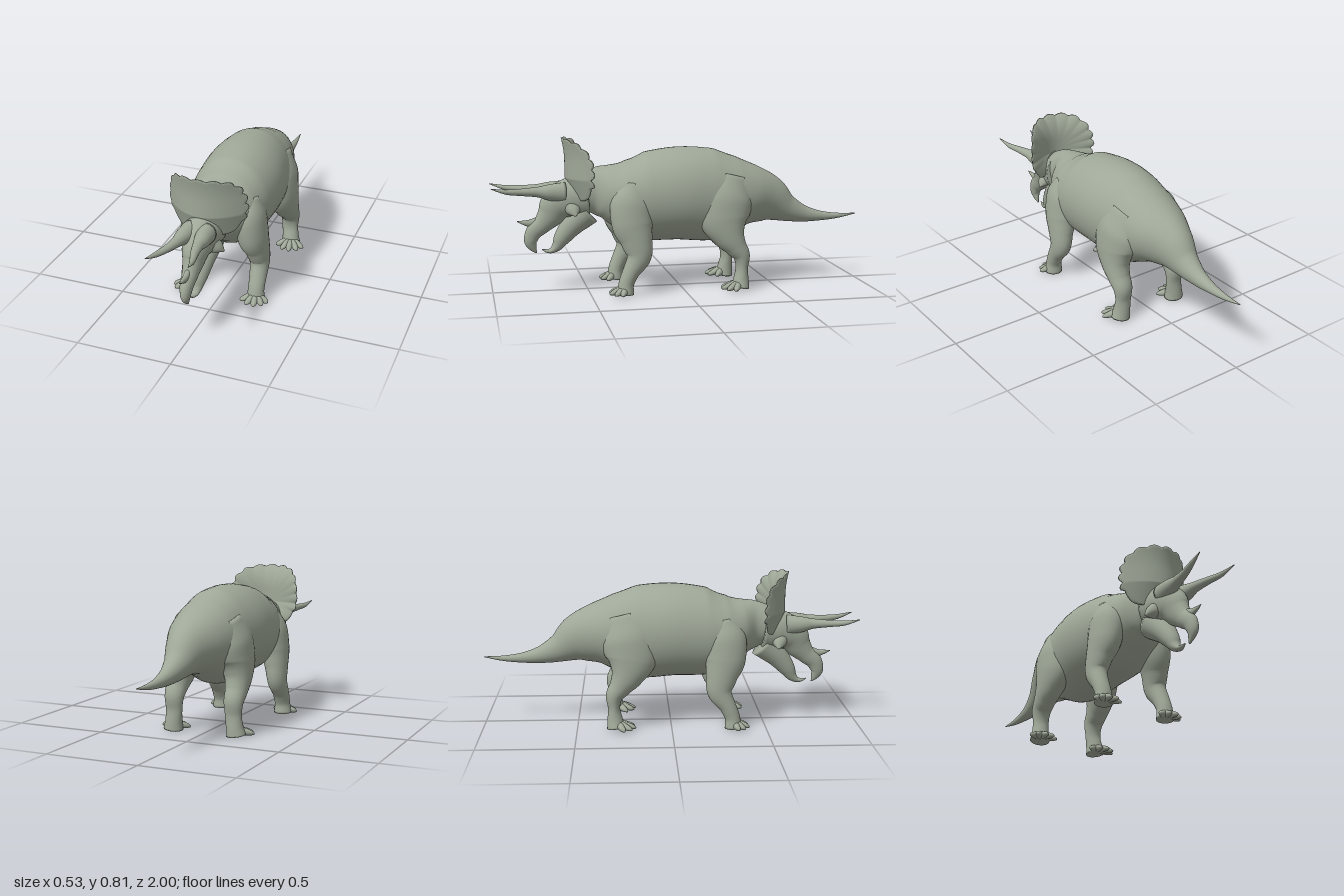
import * as THREE from 'three';

const hide = new THREE.MeshStandardMaterial({ color: 0x9fa898 });
hide.name = 'grey green hide';

// Closed smooth surface from a grid of rings (end rings shrink to a point)
function skin(rings) {
  const n = rings[0].length, pos = [], index = [];
  rings.forEach(ring => ring.forEach(p => pos.push(p.x, p.y, p.z)));
  for (let i = 0; i < rings.length - 1; i++) {
    for (let j = 0; j < n; j++) {
      const a = i * n + j, b = i * n + (j + 1) % n;
      index.push(a, b, a + n, b, b + n, a + n);
    }
  }
  const g = new THREE.BufferGeometry();
  g.setAttribute('position', new THREE.Float32BufferAttribute(pos, 3));
  g.setIndex(index);
  g.computeVertexNormals();
  return g;
}

// Elliptical tube through stations [x, y, z, half width, half depth]
function loft(stations, steps = 6, sides = 28) {
  const path = new THREE.CatmullRomCurve3(stations.map(s => new THREE.Vector3(s[0], s[1], s[2])));
  const size = new THREE.CatmullRomCurve3(stations.map(s => new THREE.Vector3(s[3], s[4], 0)));
  const total = (stations.length - 1) * steps, rings = [];
  for (let i = 0; i <= total; i++) {
    const f = i / total, c = path.getPoint(f), r = size.getPoint(f), t = path.getTangent(f);
    const u = new THREE.Vector3(1, 0, 0).addScaledVector(t, -t.x).normalize();
    const v = new THREE.Vector3().crossVectors(t, u);
    const ring = k => Array.from({ length: sides }, (_, j) => {
      const a = j / sides * Math.PI * 2;
      return c.clone().addScaledVector(u, k * Math.max(r.x, 0.001) * Math.cos(a))
        .addScaledVector(v, k * Math.max(r.y, 0.001) * Math.sin(a));
    });
    if (i === 0) rings.push(ring(0.001));
    rings.push(ring(1));
    if (i === total) rings.push(ring(0.001));
  }
  return skin(rings);
}

// Saddle-shaped neck shield with a scalloped rim
function frillGeometry() {
  const half = [[0.075, 0.795], [0.135, 0.78], [0.175, 0.74], [0.193, 0.685], [0.197, 0.63],
    [0.187, 0.575], [0.14, 0.5], [0.07, 0.485]];
  const outline = [[0, 0.798], ...half, [0, 0.485], ...half.slice().reverse().map(([x, y]) => [-x, y])];
  const curve = new THREE.CatmullRomCurve3(outline.map(([x, y]) => new THREE.Vector3(x, y, 0)), true);
  const count = outline.length, seg = count * 10, layers = 16, cy = 0.6;
  const rim = Array.from({ length: seg }, (_, j) => {
    const p = curve.getPoint(j / seg);
    const scallop = p.y > 0.56 ? 0.012 * Math.abs(Math.cos(Math.PI * j / 10)) : 0;
    const d = new THREE.Vector2(p.x, p.y - cy);
    return d.setLength(d.length() + scallop);
  });
  const surface = (r, back) => rim.map(d => {
    const x = d.x * r, y = cy + d.y * r;
    let z = 0.613 - 2.9 * x * x + Math.max(0, y - 0.68) ** 2 - 0.4 * Math.max(0, 0.6 - y);
    if (back) z -= 0.008 + 0.035 * (1 - r ** 4);
    return new THREE.Vector3(x, y, z);
  });
  const rings = [];
  // the rim runs clockwise, so skin the back first and finish on the front
  for (let i = 0; i <= layers; i++) rings.push(surface(Math.max(i / layers, 0.001), false));
  for (let i = layers; i >= 0; i--) rings.push(surface(Math.max(i / layers, 0.001), true));
  rings.reverse();
  return skin(rings.map(r => r.reverse())).scale(1, 1, 1);
}

export function createModel() {
  const model = new THREE.Group();
  model.name = 'hornedDinosaur';

  const add = (name, geometry) => {
    const mesh = new THREE.Mesh(geometry, hide);
    mesh.name = name;
    model.add(mesh);
    return mesh;
  };
  const addPair = (name, stations, steps, sides) => {
    for (const [side, s] of [['left', 1], ['right', -1]]) {
      add(side + name, loft(stations.map(([x, ...rest]) => [x * s, ...rest]), steps, sides));
    }
  };

  // Neck, trunk and tail in one sweep
  add('bodyAndTail', loft([
    [0, 0.52, 0.55, 0.08, 0.09], [0, 0.525, 0.46, 0.085, 0.125], [0, 0.52, 0.4, 0.14, 0.142],
    [0, 0.505, 0.32, 0.185, 0.18], [0, 0.49, 0.2, 0.212, 0.235], [0, 0.5, 0, 0.222, 0.25],
    [0, 0.488, -0.17, 0.205, 0.25], [0, 0.488, -0.3, 0.185, 0.204], [0, 0.48, -0.4, 0.155, 0.162],
    [0, 0.452, -0.5, 0.108, 0.128], [0, 0.4, -0.6, 0.068, 0.076], [0, 0.365, -0.7, 0.042, 0.045],
    [0, 0.35, -0.8, 0.026, 0.026], [0, 0.348, -0.9, 0.014, 0.014], [0, 0.357, -1, 0.002, 0.002],
  ], 6, 48));

  // Skull curving down to the hooked upper beak
  add('skullAndUpperBeak', loft([
    [0, 0.5, 0.5, 0.1, 0.11], [0, 0.49, 0.58, 0.09, 0.11], [0, 0.455, 0.655, 0.07, 0.092],
    [0, 0.4, 0.695, 0.052, 0.07], [0, 0.355, 0.735, 0.04, 0.05], [0, 0.315, 0.78, 0.033, 0.043],
    [0, 0.265, 0.797, 0.025, 0.034], [0, 0.23, 0.785, 0.014, 0.02], [0, 0.203, 0.768, 0.003, 0.003],
  ]));

  // Lower jaw with upturned tip
  add('lowerJaw', loft([
    [0, 0.42, 0.5, 0.08, 0.08], [0, 0.345, 0.58, 0.06, 0.06], [0, 0.275, 0.635, 0.043, 0.043],
    [0, 0.235, 0.66, 0.03, 0.028], [0, 0.212, 0.69, 0.02, 0.014], [0, 0.212, 0.715, 0.012, 0.009],
    [0, 0.22, 0.738, 0.002, 0.002],
  ]));

  add('neckFrill', frillGeometry());

  // Horns and cheek spikes
  addPair('BrowHorn', [
    [0.04, 0.525, 0.62, 0.05, 0.055], [0.05, 0.53, 0.7, 0.04, 0.042], [0.055, 0.534, 0.76, 0.028, 0.027],
    [0.07, 0.537, 0.84, 0.02, 0.019], [0.092, 0.543, 0.92, 0.013, 0.013], [0.107, 0.563, 1, 0.002, 0.002],
  ]);
  add('noseHorn', loft([
    [0, 0.365, 0.75, 0.02, 0.035], [0, 0.362, 0.8, 0.014, 0.02],
    [0, 0.367, 0.835, 0.009, 0.011], [0, 0.374, 0.866, 0.002, 0.002],
  ]));
  addPair('CheekSpike', [
    [0.04, 0.455, 0.585, 0.055, 0.05], [0.085, 0.43, 0.575, 0.028, 0.032], [0.112, 0.41, 0.57, 0.003, 0.004],
  ]);

  // Legs from shoulder or hip down to the sole
  addPair('FrontLeg', [
    [0.12, 0.57, 0.26, 0.06, 0.07], [0.14, 0.46, 0.28, 0.083, 0.115], [0.158, 0.36, 0.28, 0.077, 0.108],
    [0.175, 0.28, 0.262, 0.062, 0.084], [0.185, 0.2, 0.252, 0.052, 0.066], [0.19, 0.12, 0.295, 0.045, 0.044],
    [0.19, 0.06, 0.32, 0.043, 0.04], [0.19, 0.006, 0.325, 0.05, 0.045],
  ]);
  addPair('RearLeg', [
    [0.1, 0.6, -0.25, 0.07, 0.11], [0.125, 0.47, -0.22, 0.1, 0.15], [0.15, 0.37, -0.212, 0.085, 0.135],
    [0.165, 0.29, -0.235, 0.068, 0.09], [0.17, 0.23, -0.27, 0.058, 0.06], [0.17, 0.18, -0.302, 0.052, 0.046],
    [0.17, 0.11, -0.305, 0.045, 0.032], [0.175, 0.05, -0.3, 0.046, 0.041], [0.18, 0.006, -0.295, 0.053, 0.048],
  ]);

  // Five splayed toes per foot, given by their tips
  const feet = {
    FrontToe: { x: 0.19, z: 0.325, tips: [[0.12, 0.375], [0.16, 0.405], [0.205, 0.41], [0.245, 0.385], [0.265, 0.35]] },
    RearToe: { x: 0.18, z: -0.29, tips: [[0.11, -0.235], [0.153, -0.197], [0.197, -0.19], [0.24, -0.212], [0.264, -0.25]] },
  };
  for (const [name, { x, z, tips }] of Object.entries(feet)) {
    tips.forEach(([tx, tz], i) => {
      const at = (f, y, w, h) => [x + (tx - x) * f, y, z + (tz - z) * f, w, h];
      addPair(name + (i + 1), [
        at(0.1, 0.03, 0.018, 0.022), at(0.5, 0.022, 0.018, 0.019),
        at(0.85, 0.014, 0.014, 0.012), at(1, 0.01, 0.005, 0.005),
      ], 4, 14);
    });
  }

  return model;
}
